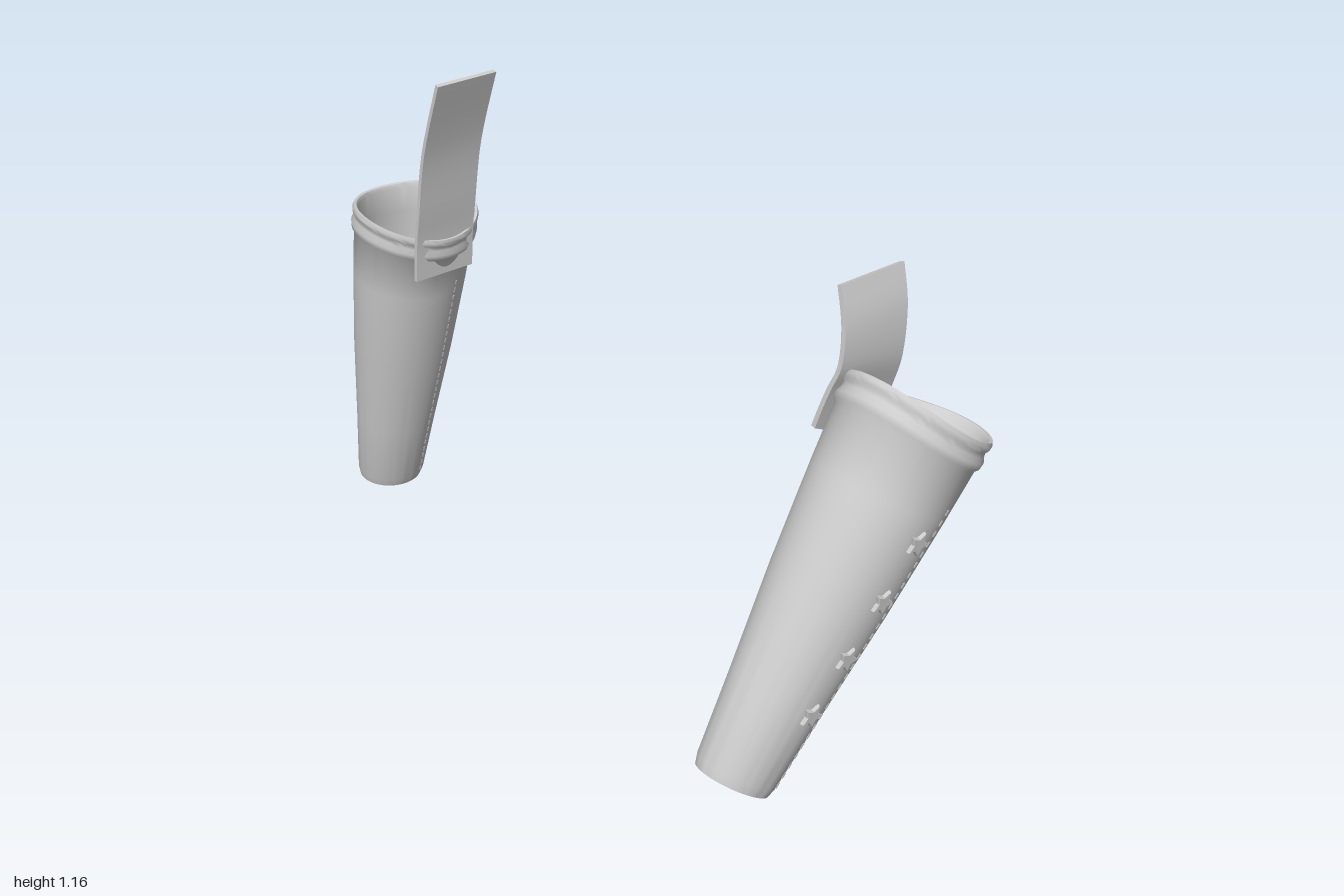
import * as THREE from 'three';
import { toCreasedNormals } from 'three/addons/utils/BufferGeometryUtils.js';

const grey = new THREE.MeshStandardMaterial({ color: 0xcccccc });
grey.name = 'lightGrey';

// outer wall: [radius, height]
const wall = [[0.07, 0], [0.075, 0.02], [0.09, 0.18], [0.113, 0.4], [0.13, 0.6], [0.138, 0.715]];
// rolled cuff, rim and hollow inside
const cuff = [[0.144, 0.722], [0.146, 0.735], [0.141, 0.748], [0.141, 0.756], [0.145, 0.762],
  [0.146, 0.77], [0.143, 0.778], [0.137, 0.777], [0.132, 0.768], [0.128, 0.7], [0.105, 0.4], [0.066, 0.03], [0, 0.03]];
const depthRatio = (h) => THREE.MathUtils.lerp(1.18, 1.06, Math.min(h / 0.75, 1));

function wallRadius(h) {
  let i = 1;
  while (i < wall.length - 1 && wall[i][1] < h) i++;
  const [r0, h0] = wall[i - 1], [r1, h1] = wall[i];
  return r0 + (r1 - r0) * (h - h0) / (h1 - h0);
}

function mesh(geometry, name) {
  const m = new THREE.Mesh(geometry, grey);
  m.name = name;
  return m;
}

// tapered oval cup with a gently waved rim
function sleeveGeometry() {
  const points = [[0, 0], ...wall, ...cuff].map(([r, h]) => new THREE.Vector2(r, h));
  const g = new THREE.LatheGeometry(points, 64);
  const p = g.attributes.position;
  for (let i = 0; i < p.count; i++) {
    const x = p.getX(i), y = p.getY(i), z = p.getZ(i);
    const wave = 0.011 * Math.cos(2 * Math.atan2(x, z)) * THREE.MathUtils.smoothstep(y, 0.62, 0.77);
    p.setXYZ(i, x, y + wave, z * depthRatio(y));
  }
  return toCreasedNormals(g, 0.8);
}

function starGeometry() {
  const s = new THREE.Shape();
  for (let i = 0; i < 10; i++) {
    const r = i % 2 ? 0.012 : 0.023, a = i * Math.PI / 5;
    s[i ? 'lineTo' : 'moveTo'](r * Math.sin(a), r * Math.cos(a));
  }
  return new THREE.ExtrudeGeometry(s, { depth: 0.006, bevelThickness: 0.002, bevelSize: 0.002, bevelSegments: 1 });
}

// outer: side of the stars, stitchSide: side of the seam
function makeSheath(name, base, axis, outer, stitchSide) {
  const group = new THREE.Group();
  group.name = name;
  group.add(mesh(sleeveGeometry(), 'sleeve'));

  const star = starGeometry();
  for (let i = 0; i < 4; i++) {
    const h = 0.184 + i * 0.123;
    const m = mesh(star, 'star');
    m.position.set(outer * (wallRadius(h) - 0.001), h, 0);
    m.rotation.set(0, outer * Math.PI / 2, -outer * 0.09, 'ZYX');
    group.add(m);
  }

  // dashed seam
  const dash = new THREE.BoxGeometry(0.003, 0.012, 0.004);
  for (let i = 0; i < 28; i++) {
    const h = 0.03 + i * 0.022, z = -0.043, r = wallRadius(h);
    const m = mesh(dash, 'stitch');
    m.position.set(stitchSide * r * Math.sqrt(1 - (z / (r * depthRatio(h))) ** 2), h, z);
    m.rotation.z = -stitchSide * 0.09;
    group.add(m);
  }

  group.position.set(...base);
  group.quaternion.setFromUnitVectors(new THREE.Vector3(0, 1, 0), new THREE.Vector3(...axis).normalize());
  return group;
}

// flat band following a curve in x/y; lean shifts z with height, skew slants the lower end
function makeStrap(name, path, zMid, lean, skew) {
  const line = new THREE.SplineCurve(path.map(([x, y]) => new THREE.Vector2(x, y)));
  const sides = [[], []];
  for (let i = 0; i <= 20; i++) {
    const c = line.getPoint(i / 20), t = line.getTangent(i / 20);
    sides[0].push(new THREE.Vector2(c.x + t.y * 0.005, c.y - t.x * 0.005));
    sides[1].unshift(new THREE.Vector2(c.x - t.y * 0.005, c.y + t.x * 0.005));
  }
  const width = 0.166;
  const g = new THREE.ExtrudeGeometry(new THREE.Shape([...sides[0], ...sides[1]]), { depth: width, bevelEnabled: false });
  g.translate(0, 0, -width / 2);
  const p = g.attributes.position, y0 = path[0][1];
  for (let i = 0; i < p.count; i++) {
    const y = p.getY(i), z = p.getZ(i);
    const low = 1 - THREE.MathUtils.smoothstep(y, y0, 1.1);
    p.setY(i, y + skew * z * low);
    p.setZ(i, zMid + z + lean * (y - y0));
  }
  return mesh(toCreasedNormals(g, 0.6), name);
}

export function createModel() {
  const model = new THREE.Group();
  model.name = 'sheathPair';
  model.add(makeSheath('rightSheath', [-0.928, 0.013, -0.2], [0.125, 0.735, -0.015], -1, 1));
  model.add(makeSheath('leftSheath', [0.835, 0.28, 0.29], [0.025, 0.64, -0.41], 1, 1));
  model.add(makeStrap('rightStrap',
    [[-0.684, 0.652], [-0.679, 0.74], [-0.668, 0.82], [-0.642, 0.98], [-0.583, 1.16]], -0.208, -0.008, 0));
  model.add(makeStrap('leftStrap',
    [[0.722, 0.84], [0.745, 0.93], [0.764, 1.0], [0.76, 1.085], [0.738, 1.16]], -0.08, -0.09, 0.45));
  return model;
}
